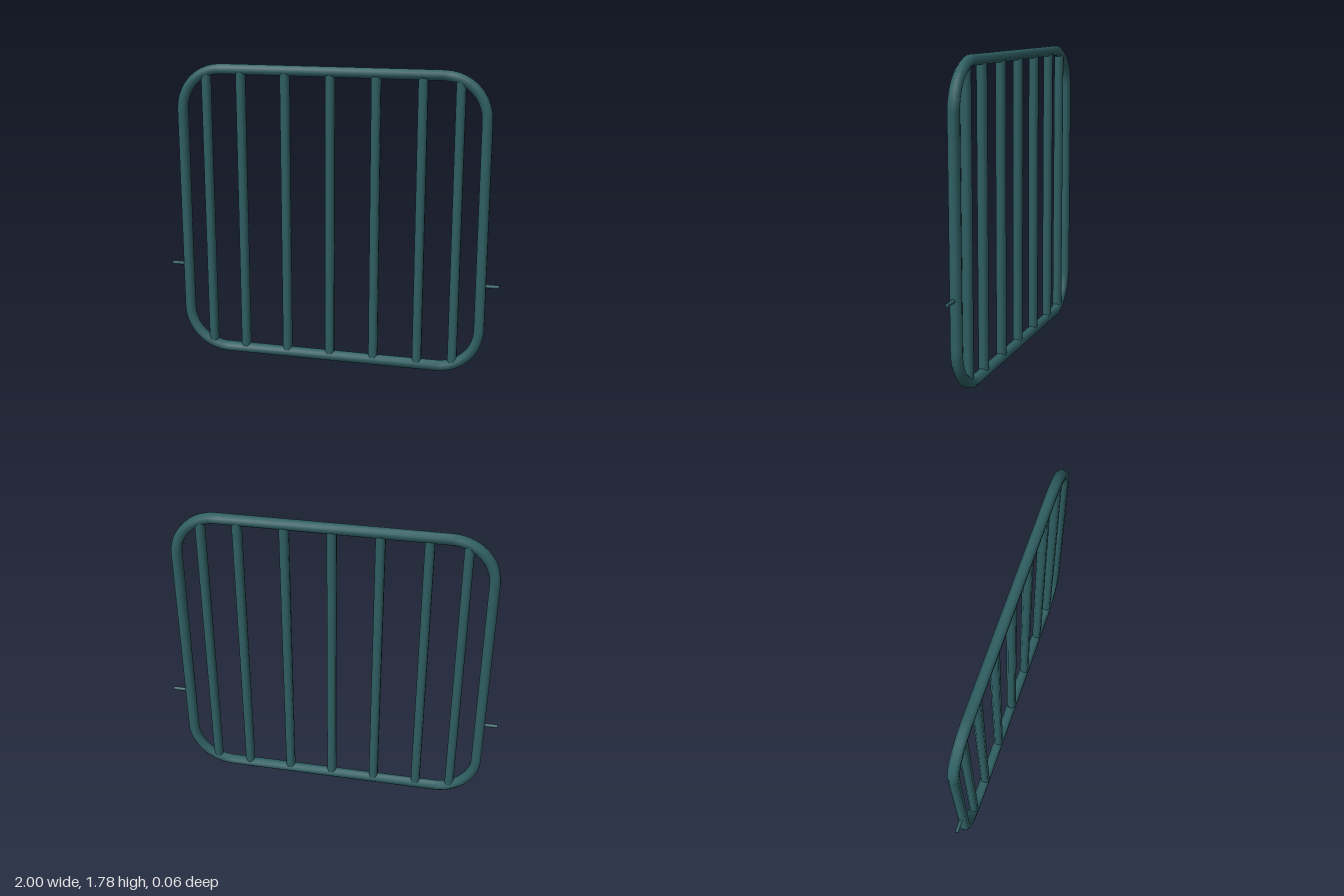
import * as THREE from 'three';

const SIDES = 8;
const paint = new THREE.MeshStandardMaterial({ color: 0x2f5f63 });

// Closed round tube following a rounded rectangle in the xy plane
function roundedFrame(halfW, halfH, corner, tube, steps = 10) {
  const positions = [], index = [];
  const rings = 4 * (steps + 1);
  for (let q = 0; q < 4; q++) {
    const cx = (q === 0 || q === 3 ? 1 : -1) * (halfW - corner);
    const cy = (q < 2 ? 1 : -1) * (halfH - corner);
    for (let s = 0; s <= steps; s++) {
      const a = (q + s / steps) * Math.PI / 2;
      for (let k = 0; k < SIDES; k++) {
        const t = (k + 0.5) / SIDES * Math.PI * 2;
        const r = corner + tube * Math.cos(t);
        positions.push(cx + r * Math.cos(a), cy + r * Math.sin(a), tube * Math.sin(t));
      }
    }
  }
  for (let i = 0; i < rings; i++) {
    const n = (i + 1) % rings;
    for (let k = 0; k < SIDES; k++) {
      const m = (k + 1) % SIDES;
      const a = i * SIDES + k, b = n * SIDES + k, c = n * SIDES + m, d = i * SIDES + m;
      index.push(a, b, c, a, c, d);
    }
  }
  const g = new THREE.BufferGeometry();
  g.setAttribute('position', new THREE.Float32BufferAttribute(positions, 3));
  g.setIndex(index);
  g.computeVertexNormals();
  return g;
}

export function createModel() {
  const gate = new THREE.Group();
  gate.name = 'barredPanel';

  const add = (name, geometry, x, y) => {
    const mesh = new THREE.Mesh(geometry, paint);
    mesh.name = name;
    mesh.position.set(x, y, 0);
    gate.add(mesh);
    return mesh;
  };

  // Outer frame
  const height = 1.785, mid = height / 2;
  add('frame', roundedFrame(0.895, mid - 0.03, 0.245, 0.032), 0, mid);

  // Upright bars, ending inside the frame tube
  const barGeometry = new THREE.CylinderGeometry(0.029, 0.029, 1.69, SIDES);
  barGeometry.rotateY(Math.PI / SIDES);
  [-0.744, -0.533, -0.267, 0, 0.267, 0.533, 0.744].forEach((x, i) => {
    add(`bar${i + 1}`, barGeometry, x, mid);
  });

  // Hinge pins on both sides
  const pinGeometry = new THREE.CylinderGeometry(0.011, 0.011, 0.11, SIDES);
  pinGeometry.rotateZ(Math.PI / 2);
  add('leftPin', pinGeometry, 0.945, 0.55);
  add('rightPin', pinGeometry, -0.945, 0.55);

  return gate;
}
